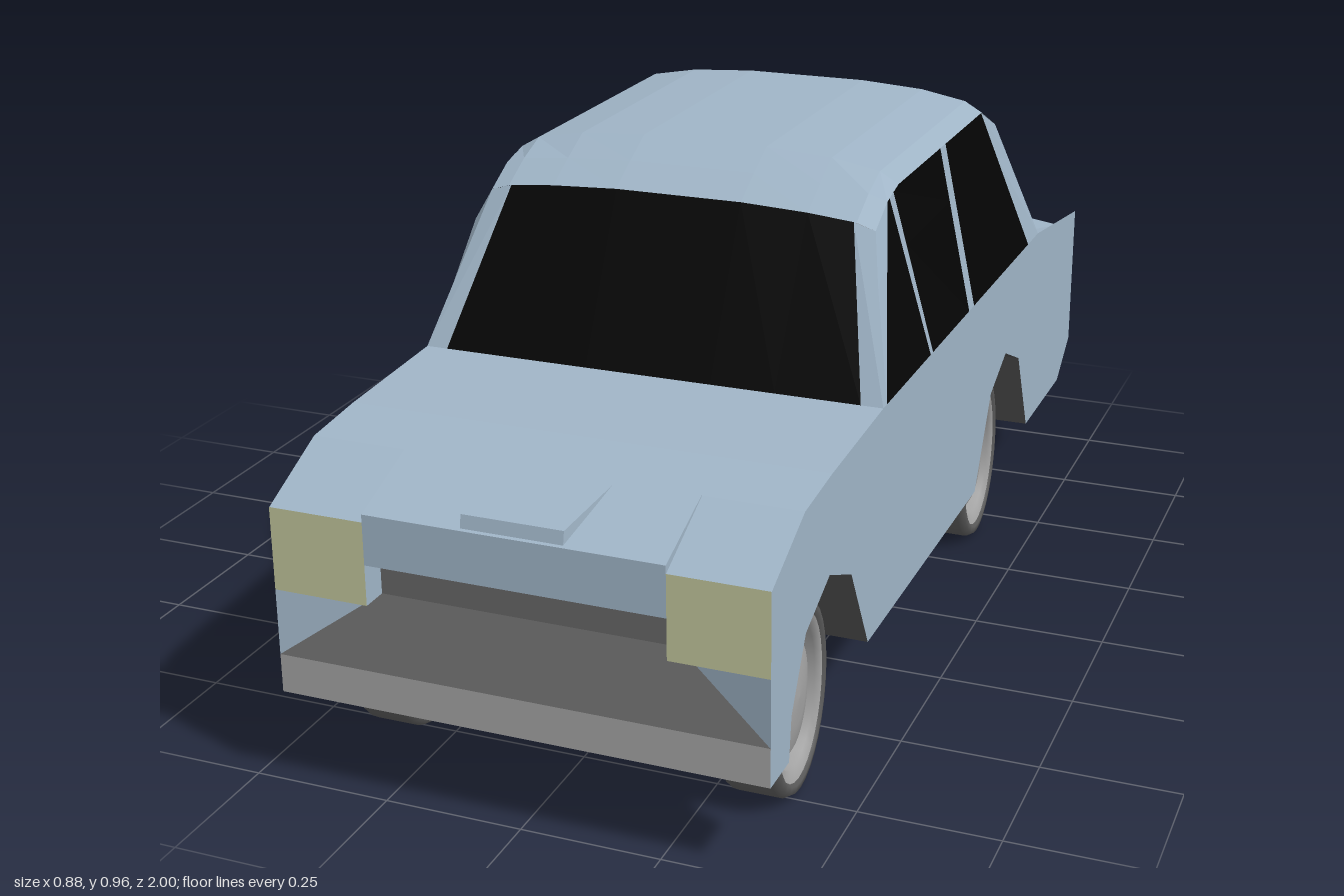
import * as THREE from 'three';

const material = (name, color, side = THREE.DoubleSide) =>
  new THREE.MeshStandardMaterial({ name, color, side });

const W = 0.4375; // half width of the body
const BELT = 0.605; // height of the window sill
const lerp = THREE.MathUtils.lerp;

// Flat-shaded surface through rows of [x, y, z] points, turned away from the middle of the car
function sheet(rows) {
  const pos = [];
  const v = (p) => new THREE.Vector3(...p);
  const tri = (a, b, c) => {
    const [A, B, C] = [v(a), v(b), v(c)];
    const n = B.clone().sub(A).cross(C.clone().sub(A));
    if (n.lengthSq() < 1e-14) return;
    const mid = A.clone().add(B).add(C).divideScalar(3).sub(new THREE.Vector3(0, 0.5, 0));
    pos.push(...a, ...(n.dot(mid) < 0 ? [...c, ...b] : [...b, ...c]));
  };
  for (let i = 0; i + 1 < rows.length; i++) {
    for (let j = 0; j + 1 < rows[i].length; j++) {
      const [a, b, c, d] = [rows[i][j], rows[i][j + 1], rows[i + 1][j], rows[i + 1][j + 1]];
      tri(a, b, c);
      tri(b, d, c);
    }
  }
  const g = new THREE.BufferGeometry();
  g.setAttribute('position', new THREE.Float32BufferAttribute(pos, 3));
  g.computeVertexNormals();
  return g;
}

// Surface swept straight across the car from a [z, y] profile
const across = (profile, half = W) =>
  sheet([profile.map(([z, y]) => [-half, y, z]), profile.map(([z, y]) => [half, y, z])]);

export function createModel() {
  const car = new THREE.Group();
  car.name = 'car';
  const paint = material('bodyPaint', 0x9fb4c6);
  const glass = material('blackGlass', 0x050505);
  const dark = material('undersideGrey', 0x505050);
  const grilleGrey = material('grilleGrey', 0x666666);
  const chrome = material('bumperGrey', 0xa3a3a3);
  const lamp = material('lampYellow', 0xc0c49a);
  const tyreGrey = material('tyreGrey', 0x5a5a5a);
  const cabinGrey = material('cabinGrey', 0x7a7a7a);

  const add = (name, geometry, mat, parent = car) => {
    const mesh = new THREE.Mesh(geometry, mat);
    mesh.name = name;
    parent.add(mesh);
    return mesh;
  };

  // Lower body: side outlines as [z, y]
  const hood = [[1, 0.51], [0.85, 0.58], [0.72, 0.592], [0.45, BELT]];
  const under = [
    [-1, 0.25], [-0.9, 0.18], [-0.61, 0.18], [-0.6, 0.2], [-0.515, 0.365], [-0.4, 0.415],
    [-0.29, 0.365], [-0.19, 0.19], [0.51, 0.19], [0.61, 0.365], [0.725, 0.415],
    [0.84, 0.365], [0.905, 0.25], [0.915, 0.172], [1, 0.172],
  ];
  const outline = [...hood, [-0.64, BELT], [-1, 0.555], ...under];
  for (const s of [-1, 1]) {
    const shape = new THREE.Shape(outline.map(([z, y]) => new THREE.Vector2(-s * z, y)));
    add('bodySide', new THREE.ShapeGeometry(shape).rotateY(s * Math.PI / 2).translate(s * W, 0, 0), paint);
  }
  add('hood', across(hood), paint);
  add('underside', across(under), dark);
  add('cabinFloor', across([[0.45, BELT - 0.003], [-0.64, BELT - 0.003]]), cabinGrey);

  // Boot lid, crowned between raised fender edges
  const bootEdge = [
    [-W, 0.555], [-0.4, 0.518], [-0.25, 0.54], [0, 0.548], [0.25, 0.54], [0.4, 0.518], [W, 0.555],
  ];
  add('bootLid', sheet([bootEdge.map(([x]) => [x, BELT, -0.64]), bootEdge.map(([x, y]) => [x, y, -1])]), paint);
  add('rearPanel', sheet([bootEdge.map(([x, y]) => [x, y, -1]), bootEdge.map(([x]) => [x, 0.25, -1])]), paint);

  // Front end: bumper, set-back grille, cheeks, lamps
  const IN = 0.265, BACK = 0.95;
  add('bumper', across([[1, 0.172], [1, 0.242]]), chrome);
  add('grille', sheet([
    [[-W, 0.242, 1], [W, 0.242, 1]],
    [[-IN, 0.362, BACK], [IN, 0.362, BACK]],
    [[-IN, 0.435, BACK], [IN, 0.435, BACK]],
  ]), grilleGrey);
  for (const s of [-1, 1]) {
    add('headlight', sheet([
      [[s * IN, 0.362, 1], [s * W, 0.362, 1]],
      [[s * IN, 0.511, 1], [s * W, 0.511, 1]],
    ]), lamp);
    add('cheek', sheet([
      [[s * W, 0.242, 1], [s * W, 0.242, 1]],
      [[s * IN, 0.362, BACK], [s * W, 0.362, 1]],
    ]), paint);
    add('lampUnderside', sheet([
      [[s * IN, 0.362, BACK], [s * IN, 0.362, 1]],
      [[s * W, 0.362, 1], [s * W, 0.362, 1]],
    ]), paint);
    add('lampInnerSide', sheet([
      [[s * IN, 0.362, BACK], [s * IN, 0.362, 1]],
      [[s * IN, 0.435, BACK], [s * IN, 0.435, 1]],
    ]), paint);
    add('noseEdge', sheet([
      [[s * IN, 0.51, 1], [s * IN, 0.525, 1]],
      [[s * IN, 0.58, 0.85], [s * IN, 0.582, 0.85]],
    ]), paint);
  }
  add('nose', across([[BACK, 0.435], [1, 0.435], [1, 0.525], [0.85, 0.582]], IN), paint);
  // Small wedge on the nose
  add('noseScoop', sheet([
    [[-0.115, 0.579, 0.86], [-0.115, 0.579, 0.86], [0.115, 0.579, 0.86], [0.115, 0.579, 0.86]],
    [[-0.115, 0.579, 0.86], [-0.09, 0.55, 0.99], [0.09, 0.55, 0.99], [0.115, 0.579, 0.86]],
    [[-0.09, 0.525, 0.995], [-0.09, 0.525, 0.995], [0.09, 0.525, 0.995], [0.09, 0.525, 0.995]],
  ]), paint);

  // Roof: arched cross-sections at [z, edge height, shoulder height, crown height]
  const roofStations = [
    [0.3, 0.87, 0.89, 0.896], [0.235, 0.905, 0.925, 0.932], [0.17, 0.92, 0.957, 0.965],
    [-0.39, 0.92, 0.957, 0.965], [-0.5, 0.87, 0.89, 0.896],
  ];
  add('roof', sheet(roofStations.map(([z, e, m, c]) => [
    [-0.37, e, z], [-0.335, lerp(e, m, 0.55), z], [-0.245, m, z], [-0.12, c, z],
    [0.12, c, z], [0.245, m, z], [0.335, lerp(e, m, 0.55), z], [0.37, e, z],
  ])), paint);

  // Windscreen and rear window with the posts beside them
  for (const [name, zb, zt] of [['windscreen', 0.45, 0.3], ['rearWindow', -0.64, -0.5]]) {
    add(name, sheet([
      [[-0.397, BELT, zb], [-0.24, BELT, zb], [-0.12, BELT, zb], [0.12, BELT, zb], [0.24, BELT, zb], [0.397, BELT, zb]],
      [[-0.33, 0.882, zt], [-0.245, 0.89, zt], [-0.12, 0.896, zt], [0.12, 0.896, zt], [0.245, 0.89, zt], [0.33, 0.882, zt]],
    ]), glass);
    for (const s of [-1, 1]) {
      add(name + 'Post', sheet([
        [[s * 0.397, BELT, zb], [s * W, BELT, zb]],
        [[s * 0.33, 0.882, zt], [s * 0.37, 0.87, zt]],
      ]), paint);
    }
  }

  // Cabin sides: upright edges as [bottom z, top z, top y], panels fill the gaps between them
  const edges = [
    [0.45, 0.3, 0.87], [0.43, 0.235, 0.905], [0.165, 0.222, 0.908], [0.15, 0.2, 0.914],
    [-0.095, -0.095, 0.92], [-0.13, -0.13, 0.92], [-0.555, -0.385, 0.92], [-0.64, -0.5, 0.87],
  ];
  const panels = ['frontPost', 'quarterGlass', 'ventPost', 'frontSideGlass', 'middlePost', 'rearSideGlass', 'rearPost'];
  for (const s of [-1, 1]) {
    const line = (i) => {
      const [zb, zt, yt] = edges[i];
      const t = 0.68;
      const bulge = s < 0 && i > 0 && i < 7 ? 0.016 : 0; // the right side bows out
      return [
        [s * W, BELT, zb],
        [s * (lerp(W, 0.37, t) + bulge), lerp(BELT, yt, t), lerp(zb, zt, t)],
        [s * 0.37, yt, zt],
      ];
    };
    panels.forEach((name, i) => {
      if (s < 0 && name === 'frontSideGlass') return; // this window is wound down
      add(name, sheet([line(i), line(i + 1)]), name.endsWith('Glass') ? glass : paint);
    });
  }

  // Wheels: oval tyre, rim ring and domed hub, the same on both faces
  const lathe = (pts) => new THREE.LatheGeometry(pts.map(([r, x]) => new THREE.Vector2(r, x)), 32).rotateZ(-Math.PI / 2);
  const tyre = lathe([
    [0.15, -0.045], [0.158, -0.055], [0.172, -0.053], [0.18, -0.04],
    [0.18, 0.04], [0.172, 0.053], [0.158, 0.055], [0.15, 0.045],
  ]);
  const rim = lathe([[0.153, -0.05], [0.132, -0.042], [0.132, 0.042], [0.153, 0.05]]);
  const hub = lathe([
    [0, -0.05], [0.05, -0.047], [0.1, -0.038], [0.13, -0.022],
    [0.13, 0.022], [0.1, 0.038], [0.05, 0.047], [0, 0.05],
  ]);
  for (const [x, z] of [[0.338, 0.725], [-0.35, 0.725], [0.338, -0.4], [-0.35, -0.4]]) {
    const wheel = new THREE.Group();
    wheel.name = z > 0 ? 'frontWheel' : 'rearWheel';
    add('tyre', tyre, tyreGrey, wheel);
    add('rim', rim, chrome, wheel);
    add('hub', hub, chrome, wheel);
    wheel.position.set(x, 0.181, z);
    wheel.scale.z = 0.75;
    car.add(wheel);
  }
  return car;
}
